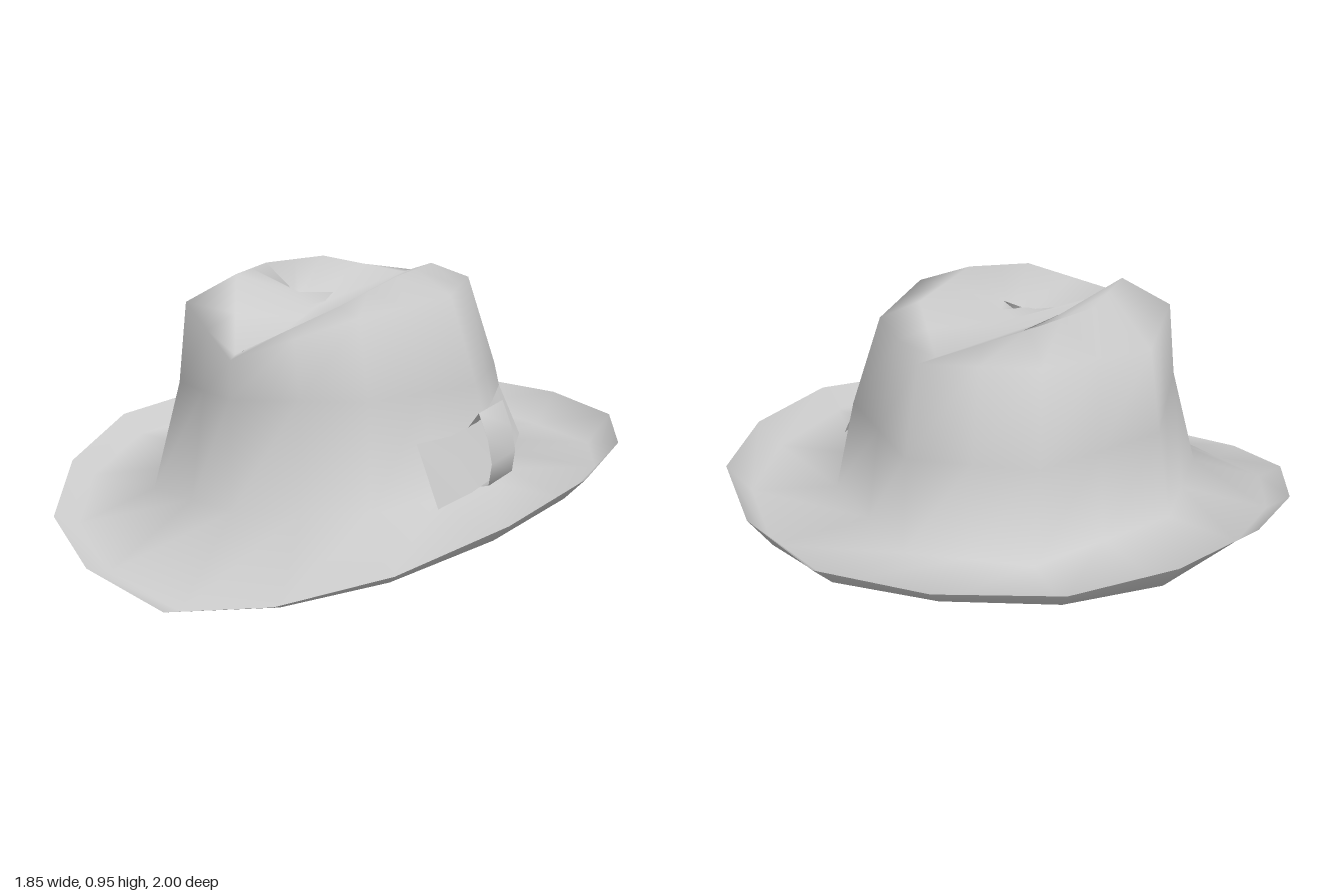
import * as THREE from 'three';
import { mergeVertices } from 'three/addons/utils/BufferGeometryUtils.js';

const material = new THREE.MeshStandardMaterial({ color: 0xcccccc, side: THREE.DoubleSide });

// Smooth skin over rows of [x, y, z] points; closed joins each row end to start
function skin(name, rows, closed) {
  const n = rows[0].length, index = [];
  for (let r = 0; r < rows.length - 1; r++) {
    for (let i = 0; i < (closed ? n : n - 1); i++) {
      const j = (i + 1) % n;
      const a = r * n + i, b = r * n + j, c = a + n, d = b + n;
      index.push(a, c, b, b, c, d);
    }
  }
  const geometry = new THREE.BufferGeometry();
  geometry.setAttribute('position', new THREE.Float32BufferAttribute(rows.flat(2), 3));
  geometry.setIndex(index);
  const welded = mergeVertices(geometry);
  welded.computeVertexNormals();
  const mesh = new THREE.Mesh(welded, material);
  mesh.name = name;
  return mesh;
}

// Eight corners become sixteen points, with the midpoints at even places
function eightSided(corners) {
  const ring = [];
  corners.forEach((p, i) => {
    const q = corners[(i + 7) % 8];
    ring.push(p.map((v, k) => (v + q[k]) / 2), p);
  });
  return ring;
}

export function createModel() {
  const hat = new THREE.Group();
  hat.name = 'hat';

  // Brim edge, from the back round by +x
  const edge = [
    [-0.02, 0.42, -1], [0.355, 0.42, -0.97], [0.66, 0.415, -0.75], [0.88, 0.4, -0.42],
    [0.925, 0.375, -0.05], [0.84, 0.335, 0.34], [0.635, 0.26, 0.67], [0.335, 0.16, 0.915],
    [0, 0.075, 1], [-0.345, 0.02, 0.94], [-0.645, 0.085, 0.76], [-0.85, 0.17, 0.49],
    [-0.925, 0.27, 0.105], [-0.87, 0.36, -0.29], [-0.68, 0.395, -0.635], [-0.4, 0.41, -0.89],
  ];
  // Lowest line of the brim, just inside the curled edge
  const lowY = [0.345, 0.335, 0.3, 0.3, 0.29, 0.265, 0.2, 0.12,
    0.05, 0.003, 0.06, 0.14, 0.22, 0.295, 0.295, 0.33];
  const low = edge.map(([x, , z], i) => [x * 0.92, lowY[i], z * 0.92]);

  // Crown rings from the foot upwards
  const foot = eightSided([
    [0.19, 0.31, -0.64], [0.56, 0.28, -0.25], [0.56, 0.28, 0.22], [0.21, 0.26, 0.61],
    [-0.22, 0.25, 0.62], [-0.56, 0.24, 0.33], [-0.56, 0.28, -0.15], [-0.22, 0.3, -0.59]]);
  const wall = eightSided([
    [0.2, 0.6, -0.56], [0.49, 0.6, -0.24], [0.48, 0.6, 0.22], [0.2, 0.6, 0.59],
    [-0.22, 0.6, 0.63], [-0.48, 0.59, 0.29], [-0.515, 0.58, -0.14], [-0.22, 0.6, -0.52]]);
  const shoulder = eightSided([
    [0.18, 0.89, -0.48], [0.4, 0.9, -0.2], [0.39, 0.88, 0.18], [0.15, 0.84, 0.49],
    [-0.22, 0.72, 0.62], [-0.46, 0.85, 0.27], [-0.47, 0.85, -0.1], [-0.2, 0.9, -0.43]]);
  const ridge = eightSided([
    [0.14, 0.89, -0.42], [0.28, 0.95, -0.15], [0.22, 0.94, 0.2], [0.08, 0.87, 0.45],
    [-0.21, 0.735, 0.6], [-0.3, 0.94, 0.24], [-0.27, 0.95, -0.05], [-0.12, 0.955, -0.28]]);

  // Soft hollow along the top; both halves meet on one floor line
  const floor = ridge.map((_, i) => {
    const t = Math.abs(((i + 7) % 16) - 8) / 8;
    const back = 1 - t;
    return [-0.2 + 0.31 * t, 0.74 + 0.12 * t - 0.08 * t * back, 0.58 - 0.94 * t];
  });
  const slope = ridge.map((p, i) => p.map((v, k) => (v + floor[i][k]) / 2 - (k === 1 ? 0.012 : 0)));
  hat.add(skin('brimAndCrown', [edge, low, foot, wall, shoulder, ridge, slope, floor], true));

  // Bow: two curved wings and a bent knot
  const bow = new THREE.Group();
  bow.name = 'bow';
  const middle = [[0.56, 0.32, 0.24], [0.5, 0.49, 0.24]];
  bow.add(skin('frontWing', [
    [[0.4, 0.255, 0.49], [0.33, 0.455, 0.48]],
    [[0.49, 0.285, 0.37], [0.42, 0.46, 0.36]], middle], false));
  bow.add(skin('backWing', [middle,
    [[0.59, 0.36, 0.09], [0.52, 0.53, 0.09]],
    [[0.595, 0.39, -0.07], [0.525, 0.555, -0.06]]], false));
  const profile = [[0, 0.3], [0.05, 0.31], [0.06, 0.38], [0.045, 0.46], [0.015, 0.54], [-0.02, 0.49]];
  bow.add(skin('knot', [[0.485, 0.3, -0.015], [0.545, 0.16, 0.005]].map(([x, z, lift]) =>
    profile.map(([out, y]) => [x + out, y + lift, z + out * 0.3])), false));
  hat.add(bow);

  return hat;
}
